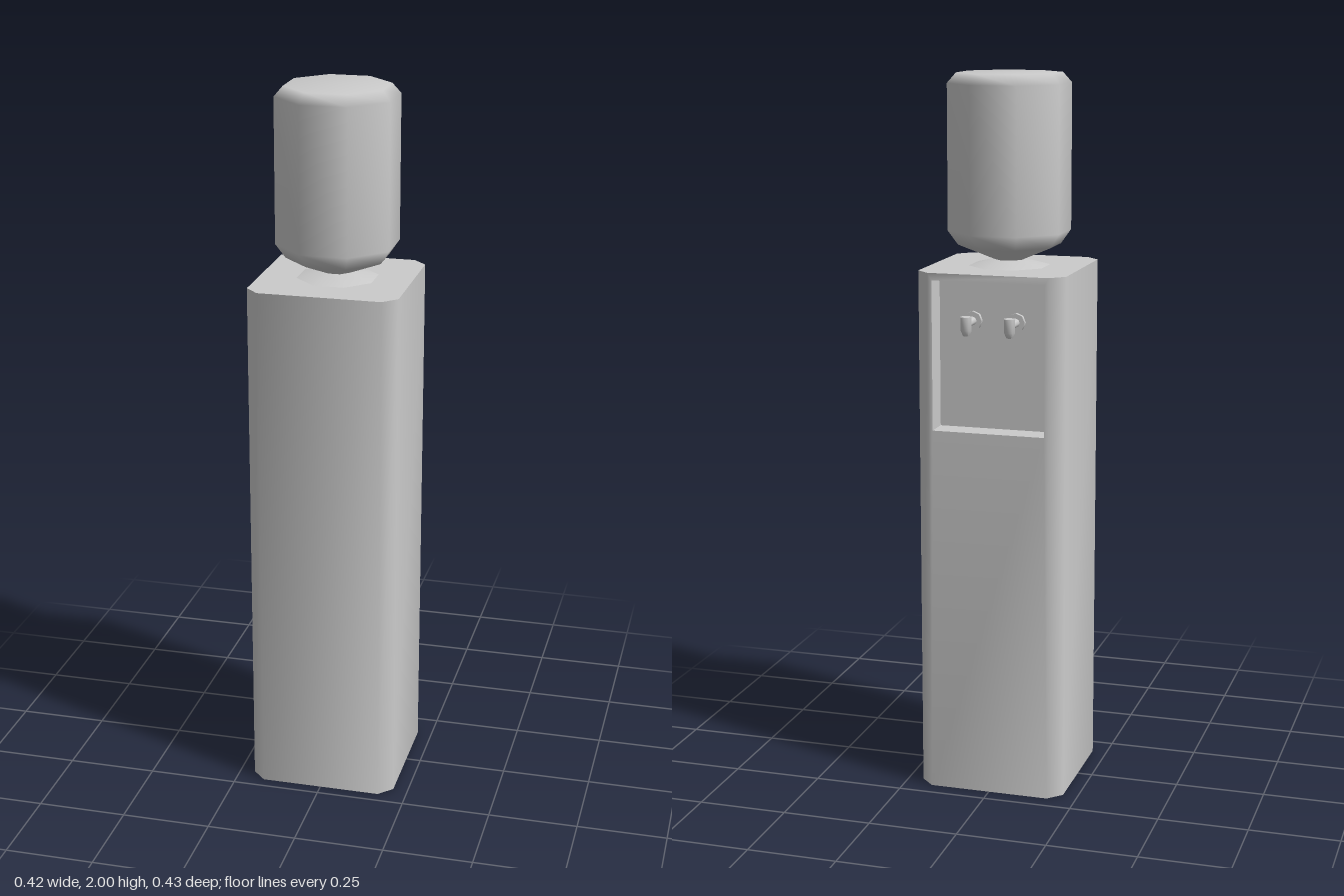
import * as THREE from 'three';
import { mergeGeometries, toCreasedNormals } from 'three/addons/utils/BufferGeometryUtils.js';

const grey = new THREE.MeshStandardMaterial({ color: 0xcccccc });
const H = 1.475, BACK = -0.202;
const recess = { half: 0.158, bottom: 1.04, top: 1.455, depth: 0.07 };

function add(parent, name, geometry, x = 0, y = 0, z = 0) {
  const mesh = new THREE.Mesh(geometry, grey);
  mesh.name = name;
  mesh.position.set(x, y, z);
  parent.add(mesh);
  return mesh;
}

// Chamfered column; its back wall has an opening for the tap recess
function cabinetGeometry() {
  const ring = [[-0.17, 0.216], [0.17, 0.216], [0.208, 0.178], [0.208, -0.164],
    [0.17, BACK], [-0.17, BACK], [-0.208, -0.164], [-0.208, 0.178]];
  const pos = [];
  const put = (i, y) => pos.push(ring[i % 8][0], y, ring[i % 8][1]);
  for (let i = 0; i < 8; i++) {
    if (i === 4) continue;
    put(i, 0); put(i + 1, 0); put(i + 1, H);
    put(i, 0); put(i + 1, H); put(i, H);
  }
  for (let i = 1; i < 7; i++) {
    put(0, H); put(i, H); put(i + 1, H);
    put(0, 0); put(i + 1, 0); put(i, 0);
  }
  const shell = new THREE.BufferGeometry();
  shell.setAttribute('position', new THREE.Float32BufferAttribute(pos, 3));

  const rect = (C, w, y0, y1) => new C([[-w, y0], [w, y0], [w, y1], [-w, y1]].map(p => new THREE.Vector2(...p)));
  const wall = rect(THREE.Shape, 0.17, 0, H);
  wall.holes.push(rect(THREE.Path, recess.half, recess.bottom, recess.top));
  const back = new THREE.ShapeGeometry(wall).rotateY(Math.PI).translate(0, 0, BACK).toNonIndexed();
  back.deleteAttribute('normal');
  back.deleteAttribute('uv');
  return toCreasedNormals(mergeGeometries([shell, back]), 1);
}

// Inward-facing box without its outer face
function recessGeometry() {
  const { half, bottom, top, depth } = recess;
  const g = new THREE.BoxGeometry(2 * half, top - bottom, depth);
  const index = Array.from(g.index.array).slice(0, 30);
  for (let i = 0; i < 30; i += 3) [index[i], index[i + 1]] = [index[i + 1], index[i]];
  g.setIndex(index);
  g.computeVertexNormals();
  return g;
}

function lathe(points, start = 0) {
  return new THREE.LatheGeometry(points.map(p => new THREE.Vector2(...p)), 8, start);
}

export function createModel() {
  const model = new THREE.Group();
  model.name = 'waterDispenser';

  add(model, 'cabinet', cabinetGeometry());
  add(model, 'tapRecess', recessGeometry(), 0, (recess.bottom + recess.top) / 2, BACK + recess.depth / 2);

  // Upturned eight-sided bottle and the collar it sits in
  const bottle = lathe([[0.035, 1.475], [0.042, 1.492], [0.143, 1.533], [0.171, 1.572],
    [0.171, 1.972], [0.146, 2], [0, 2]], Math.PI / 8);
  add(model, 'bottle', bottle, 0, 0, 0.007);
  add(model, 'collar', lathe([[0.113, 1.475], [0.045, 1.492], [0, 1.492]], Math.PI / 8), 0, 0, 0.007);

  // Two taps on the recess wall
  for (const side of [1, -1]) {
    const tap = new THREE.Group();
    tap.name = side > 0 ? 'leftTap' : 'rightTap';
    tap.position.set(side * 0.061, 1.335, 0);
    const wallZ = BACK + recess.depth;
    const along = (r, length) => new THREE.CylinderGeometry(r, r, length, 8).rotateX(Math.PI / 2);
    add(tap, 'tapFlange', along(0.026, 0.012), 0, 0.005, wallZ - 0.006);
    add(tap, 'tapPipe', along(0.012, 0.07), 0, 0.005, wallZ - 0.035);
    add(tap, 'tapSpout', toCreasedNormals(
      lathe([[0, -0.027], [0.009, -0.027], [0.016, -0.012], [0.016, 0.025], [0, 0.025]]), 0.9), 0, 0, -0.201);
    model.add(tap);
  }
  return model;
}
